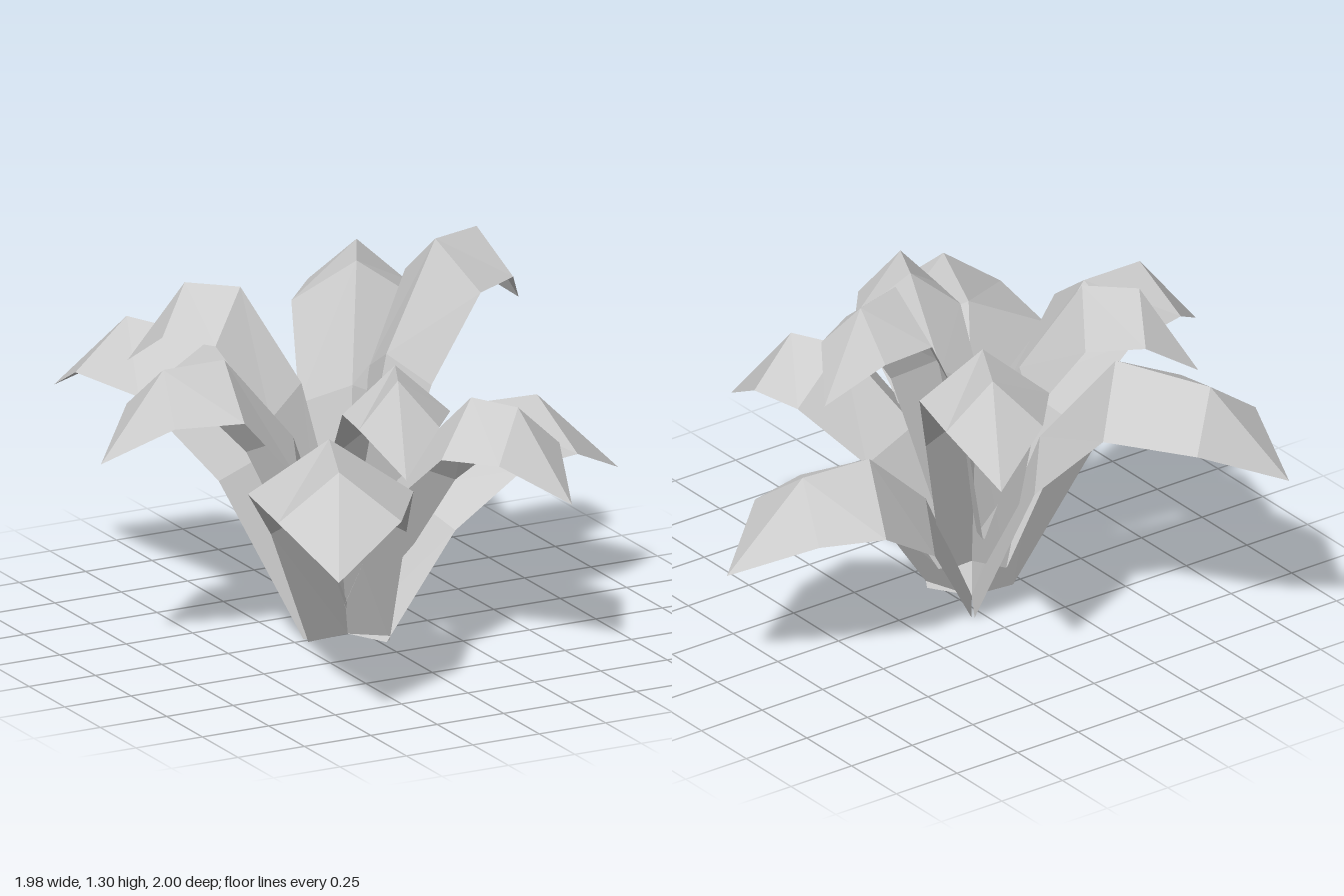
import * as THREE from 'three';

// Three tiers of leaves: base height, overall scale, shoulder fold depth
const TIERS = [
  { base: 0, s: 1, fold: 0.1 },
  { base: 0.13, s: 0.79, fold: 0.045 },
  { base: 0.26, s: 0.655, fold: 0.035 },
];

// Each leaf: tier, crest height, then spine points in plan [x, z]: shoulder, bend, tip
const LEAVES = [
  [0, 0.70, [0.44, -0.09], [0.70, -0.07], [0.99, -0.04]],
  [0, 0.84, [-0.34, 0.41], [-0.48, 0.74], [-0.62, 1.0]],
  [0, 0.96, [-0.34, -0.41], [-0.48, -0.75], [-0.62, -1.0]],
  [1, 0.88, [0.23, 0.345], [0.315, 0.515], [0.40, 0.735]],
  [1, 1.03, [-0.52, 0.01], [-0.75, 0.01], [-0.99, 0.02]],
  [1, 1.155, [0.19, -0.385], [0.30, -0.59], [0.42, -0.80]],
  [2, 1.30, [0.32, -0.075], [0.505, -0.13], [0.69, -0.18]],
  [2, 1.045, [-0.07, 0.37], [-0.14, 0.52], [-0.20, 0.69]],
  [2, 1.18, [-0.32, -0.25], [-0.46, -0.38], [-0.60, -0.52]],
];

const v2 = (p) => new THREE.Vector2(p[0], p[1]);
const CENTER = v2([-0.05, 0]);

// Folded cross-section: ridge point plus two edges lying further out and lower
function section(ridge, ridgeY, dir, out, edgeY, half) {
  const edge = (side) => new THREE.Vector3(
    ridge.x + dir.x * out - dir.y * half * side, edgeY,
    ridge.y + dir.y * out + dir.x * half * side);
  return [edge(1), new THREE.Vector3(ridge.x, ridgeY, ridge.y), edge(-1)];
}

function leafGeometry([tier, top, p2, p3, p4]) {
  const { base, s, fold } = TIERS[tier];
  const m2 = v2(p2), m3 = v2(p3), tip = v2(p4);
  const dir = tip.clone().sub(m2).normalize();
  const edgeY = top - 0.155;
  // The stalk section sits partway between the base and the shoulder
  const shoulder = m2.clone().addScaledVector(dir, fold);
  const y1 = base + (edgeY - base) * 0.67;
  const m1 = CENTER.clone().lerp(shoulder, 0.54).addScaledVector(dir, -0.09 * s);

  const tipPoint = new THREE.Vector3(tip.x, top - 0.29, tip.y);
  const rows = [
    section(CENTER, base, dir, 0.083 * s, base, 0.135 * s),
    section(m1, y1 + 0.09, dir, 0.1 * s, y1, 0.225 * s),
    section(m2, top, dir, fold, edgeY, 0.275 * s),
    section(m3, top, dir, 0.06 * s, edgeY, 0.205 * s),
  ];

  const points = [];
  rows.forEach((row, i) => {
    const next = rows[i + 1];
    for (let k = 0; k < 2; k++) {
      if (next) {
        points.push(row[k], next[k], row[k + 1]);
        points.push(row[k + 1], next[k], next[k + 1]);
      } else {
        points.push(row[k], tipPoint, row[k + 1]);
      }
    }
  });
  const geometry = new THREE.BufferGeometry().setFromPoints(points);
  geometry.computeVertexNormals();
  return geometry;
}

export function createModel() {
  const model = new THREE.Group();
  model.name = 'plant';
  const material = new THREE.MeshStandardMaterial({
    color: 0xcccccc, flatShading: true, side: THREE.DoubleSide,
  });
  const tierNames = ['lowerLeaf', 'middleLeaf', 'upperLeaf'];
  LEAVES.forEach((leaf, i) => {
    const mesh = new THREE.Mesh(leafGeometry(leaf), material);
    mesh.name = tierNames[leaf[0]] + ((i % 3) + 1);
    model.add(mesh);
  });
  return model;
}
